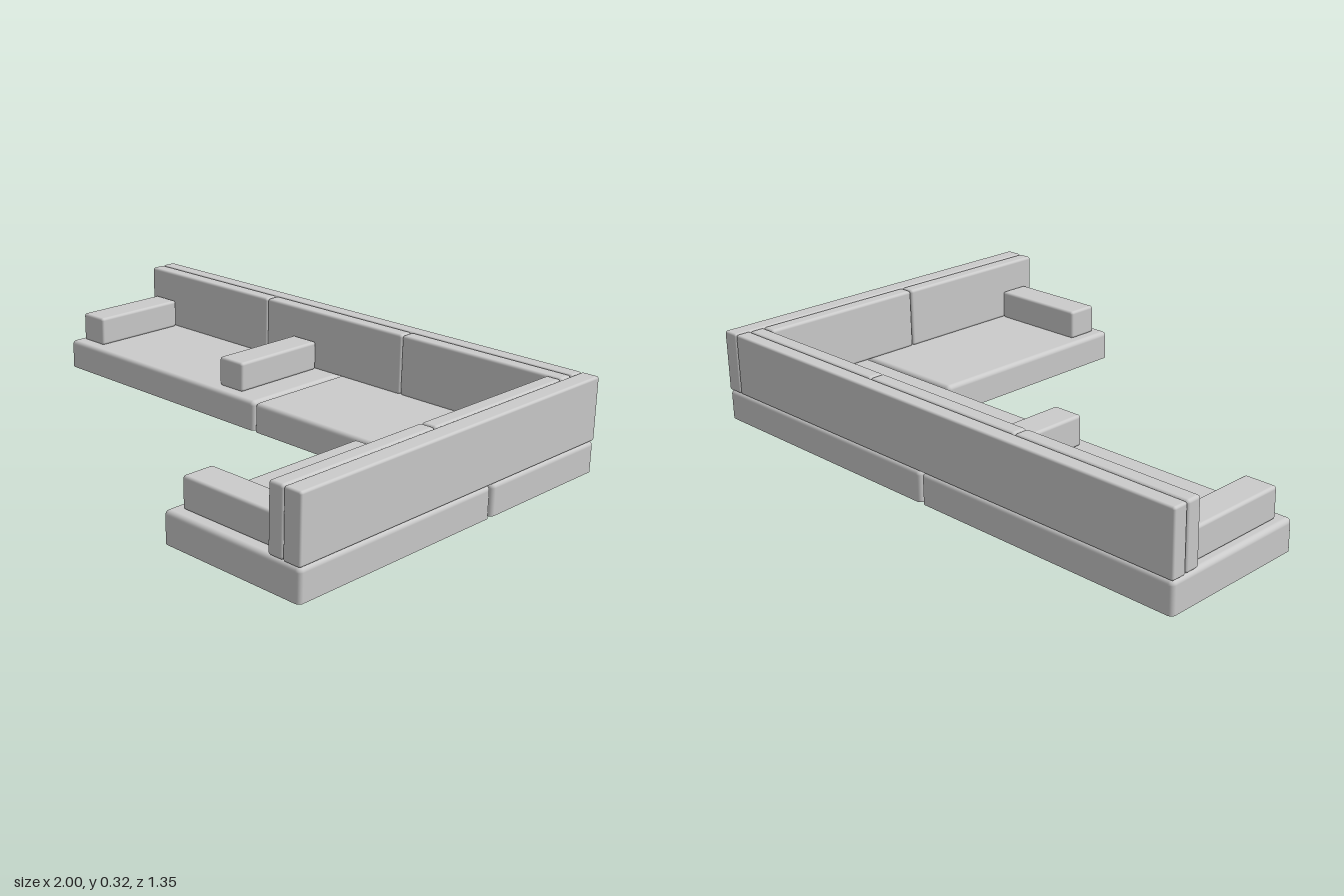
import * as THREE from 'three';
import { RoundedBoxGeometry } from 'three/addons/geometries/RoundedBoxGeometry.js';

const SEAT = 0.105, ARM = 0.21, TOP = 0.32;

const solid = new THREE.MeshStandardMaterial({ color: 0xcccccc });
const shell = new THREE.MeshStandardMaterial({ color: 0xcccccc, side: THREE.DoubleSide });

// Rounded block given by its extents along x, y and z
function block(name, [x0, x1], [y0, y1], [z0, z1], radius, material = solid) {
  const geometry = new RoundedBoxGeometry(x1 - x0, y1 - y0, z1 - z0, 4, radius);
  geometry.translate((x0 + x1) / 2, (y0 + y1) / 2, (z0 + z1) / 2);
  const mesh = new THREE.Mesh(geometry, material);
  mesh.name = name;
  return mesh;
}

// Seat base: a rounded block without its underside, hollow below
function seatBase(name, xs, zs) {
  const radius = 0.016;
  const mesh = block(name, xs, [-radius, SEAT], zs, radius, shell);
  const source = mesh.geometry;
  const position = source.attributes.position;
  const points = [], normals = [];
  for (let i = 0; i < position.count; i += 3) {
    const middle = (position.getY(i) + position.getY(i + 1) + position.getY(i + 2)) / 3;
    if (middle < 0) continue;
    for (let k = i; k < i + 3; k++) {
      points.push(position.getX(k), Math.max(0, position.getY(k)), position.getZ(k));
      normals.push(source.attributes.normal.getX(k), source.attributes.normal.getY(k), source.attributes.normal.getZ(k));
    }
  }
  mesh.geometry = new THREE.BufferGeometry();
  mesh.geometry.setAttribute('position', new THREE.Float32BufferAttribute(points, 3));
  mesh.geometry.setAttribute('normal', new THREE.Float32BufferAttribute(normals, 3));
  return mesh;
}

export function createModel() {
  const sofa = new THREE.Group();
  sofa.name = 'cornerSofa';

  // Three seat bases in an L
  sofa.add(
    seatBase('rightSeatBase', [-1, -0.003], [-0.676, -0.147]),
    seatBase('cornerSeatBase', [0.003, 1], [-0.676, -0.147]),
    seatBase('chaiseSeatBase', [0.467, 1], [-0.141, 0.676]),
  );

  // Back panels along the two outer sides
  const height = [SEAT, TOP];
  sofa.add(
    block('rearBackPanel', [-1, 0.935], height, [-0.676, -0.622], 0.008),
    block('sideBackPanel', [0.937, 1], height, [-0.676, 0.676], 0.008),
  );

  // Back cushions
  const rearSplits = [-1, -0.355, 0.29, 0.934];
  for (let i = 0; i < 3; i++) {
    sofa.add(block('rearBackCushion' + (i + 1), [rearSplits[i] + 0.001, rearSplits[i + 1] - 0.001],
      height, [-0.621, -0.566], 0.01));
  }
  const sideSplits = [-0.565, 0.055, 0.676];
  for (let i = 0; i < 2; i++) {
    sofa.add(block('sideBackCushion' + (i + 1), [0.88, 0.935], height,
      [sideSplits[i] + 0.001, sideSplits[i + 1] - 0.001], 0.01));
  }

  // Low armrests
  const armHeight = [SEAT, ARM];
  sofa.add(
    block('rightArmrest', [-0.972, -0.86], armHeight, [-0.565, -0.19], 0.01),
    block('middleArmrest', [-0.215, -0.103], armHeight, [-0.565, -0.19], 0.01),
    block('chaiseArmrest', [0.504, 0.88], armHeight, [0.52, 0.636], 0.01),
  );
  return sofa;
}
